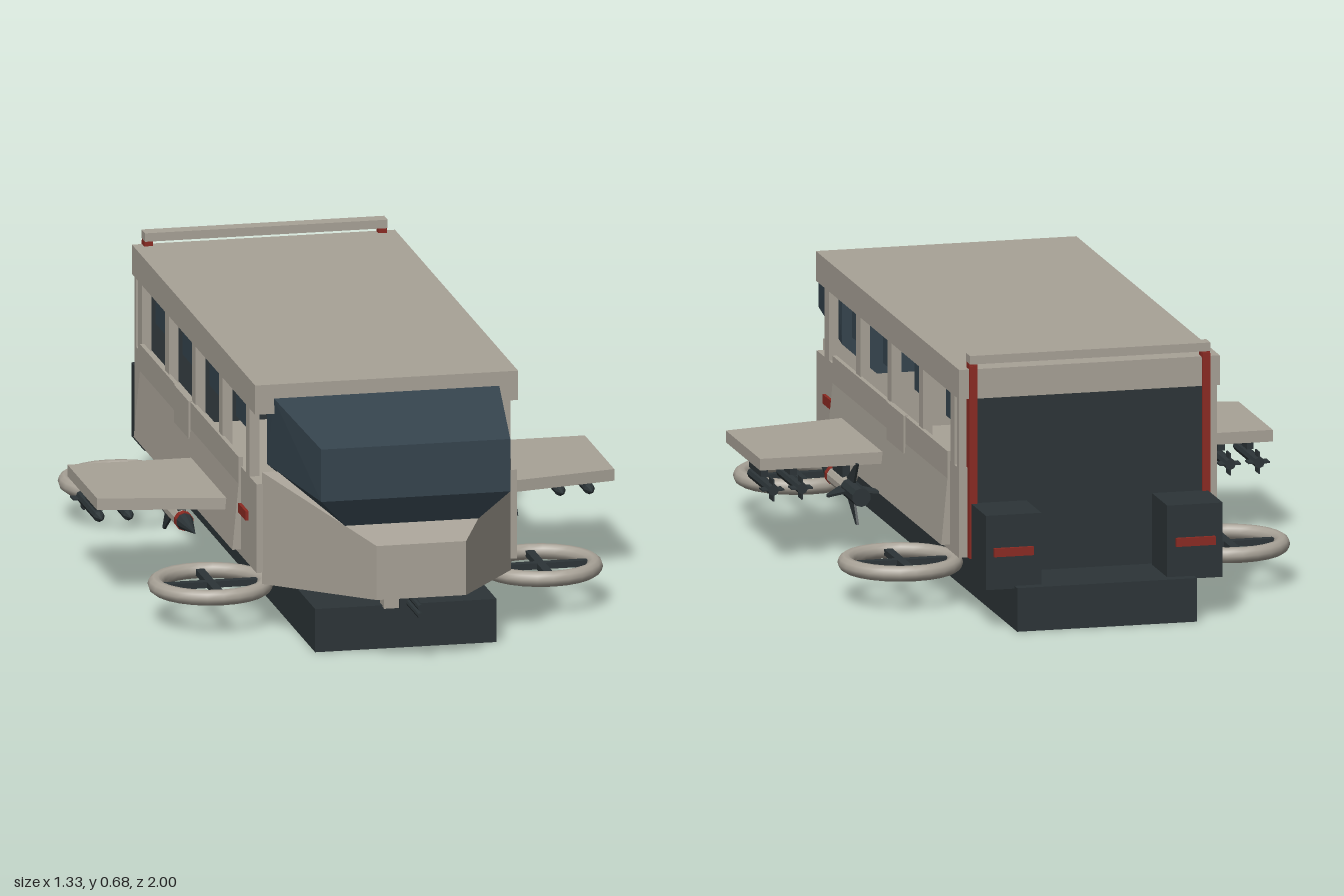
import * as THREE from 'three';
import { ConvexGeometry } from 'three/addons/geometries/ConvexGeometry.js';

const paint = (color) => new THREE.MeshStandardMaterial({ color, flatShading: true });
const hull = paint(0xa8a297), dark = paint(0x2c3437), glass = paint(0x35444e), red = paint(0x8c2a22);
const smoothHull = new THREE.MeshStandardMaterial({ color: 0xa8a297 });

function add(parent, name, geometry, material, x = 0, y = 0, z = 0) {
  const mesh = new THREE.Mesh(geometry, material);
  mesh.name = name;
  mesh.position.set(x, y, z);
  parent.add(mesh);
  return mesh;
}

// Box given by its extents on each axis
function block(parent, name, material, [x0, x1], [y0, y1], [z0, z1]) {
  return add(parent, name, new THREE.BoxGeometry(x1 - x0, y1 - y0, z1 - z0), material,
    (x0 + x1) / 2, (y0 + y1) / 2, (z0 + z1) / 2);
}

// Round section lying along z, from zBack (radius rBack) to zFront (radius rFront)
function rod(parent, name, material, rFront, rBack, zBack, zFront, x, y, sides = 10) {
  const g = new THREE.CylinderGeometry(rFront, rBack, zFront - zBack, sides).rotateX(Math.PI / 2);
  return add(parent, name, g, material, x, y, (zBack + zFront) / 2);
}

// Flat polygon in (a, b), extruded along x and centred on it
function slab(points, depth) {
  const shape = new THREE.Shape(points.map(([a, b]) => new THREE.Vector2(a, b)));
  return new THREE.ExtrudeGeometry(shape, { depth, bevelEnabled: false }).translate(0, 0, -depth / 2);
}

// Convex solid from half of its corners, mirrored in x
function mirroredHull(points) {
  return new ConvexGeometry(points.flatMap(([x, y, z]) =>
    [new THREE.Vector3(x, y, z), new THREE.Vector3(-x, y, z)]));
}

function fanRing(parent, x, z) {
  const fan = new THREE.Group();
  fan.name = 'liftFan';
  fan.position.set(x, 0.098, z);
  add(fan, 'fanRing', new THREE.TorusGeometry(0.138, 0.02, 10, 24).rotateX(Math.PI / 2), smoothHull);
  block(fan, 'fanSpoke', dark, [-0.125, 0.125], [-0.008, 0.008], [-0.011, 0.011]);
  block(fan, 'fanSpoke', dark, [-0.011, 0.011], [-0.008, 0.008], [-0.125, 0.125]);
  parent.add(fan);
}

function largeMissile(parent, s) {
  const m = new THREE.Group(), x = s * 0.415, y = 0.172;
  m.name = 'largeMissile';
  rod(m, 'missileNose', dark, 0.001, 0.022, 0.13, 0.25, x, y);
  rod(m, 'missileBand', red, 0.024, 0.024, 0.11, 0.13, x, y);
  rod(m, 'missileBody', hull, 0.023, 0.023, -0.03, 0.11, x, y);
  rod(m, 'missileMotor', dark, 0.024, 0.024, -0.15, -0.03, x, y);
  block(m, 'missilePylon', dark, [x - 0.01, x + 0.01], [0.19, 0.25], [0, 0.1]);
  // four swept tail fins
  for (let i = 0; i < 4; i++) {
    const fin = add(m, 'missileFin',
      slab([[0.01, 0.02], [0.08, 0.02], [0.115, 0.078], [0.1, 0.078]], 0.006).rotateY(Math.PI / 2), dark, x, y, 0);
    fin.rotation.z = i * Math.PI / 2;
  }
  parent.add(m);
}

function smallMissile(parent, x) {
  const m = new THREE.Group(), y = 0.192;
  m.name = 'smallMissile';
  block(m, 'pylon', dark, [x - 0.009, x + 0.009], [0.208, 0.247], [-0.01, 0.11]);
  rod(m, 'smallMissileBody', dark, 0.014, 0.014, -0.1, 0.11, x, y, 8);
  rod(m, 'smallMissileNose', dark, 0.001, 0.014, 0.11, 0.14, x, y, 8);
  block(m, 'smallMissileFin', dark, [x - 0.028, x + 0.028], [y - 0.002, y + 0.002], [-0.1, -0.065]);
  block(m, 'smallMissileFin', dark, [x - 0.002, x + 0.002], [y - 0.028, y + 0.028], [-0.1, -0.065]);
  parent.add(m);
}

// Everything that appears on both sides; s is +1 for left, -1 for right
function buildSide(s) {
  const side = new THREE.Group();
  side.name = s > 0 ? 'leftSide' : 'rightSide';
  const span = (a, b) => (s > 0 ? [a, b] : [-b, -a]);

  block(side, 'lowerWall', hull, span(0.305, 0.335), [0.155, 0.385], [-0.81, 0.6]);
  for (let i = 0; i < 5; i++) {
    const z = 0.5 - i * 0.3115;
    block(side, 'windowPillar', hull, span(0.31, 0.335), [0.385, 0.566], [z - 0.021, z + 0.021]);
    if (i < 4) block(side, 'windowPane', glass, span(0.298, 0.308), [0.47, 0.556], [z - 0.255, z - 0.145]);
  }
  block(side, 'rearPost', hull, span(0.315, 0.335), [0.385, 0.566], [-0.81, -0.79]);

  // side skirt that flares outward at the bottom
  const profile = [[0.33, 0.17], [0.357, 0.17], [0.341, 0.34], [0.341, 0.41], [0.33, 0.41]];
  const skirt = slab(s > 0 ? profile : profile.map(([x, y]) => [-x, y]).reverse(), 1.14);
  add(side, 'sideSkirt', skirt, hull, 0, 0, -0.15);
  block(side, 'accessPanel', hull, span(0.335, 0.346), [0.315, 0.412], [-0.305, -0.135]);
  block(side, 'sideMarker', red, span(0.33, 0.343), [0.268, 0.292], [0.425, 0.51]);

  // stub wing with a tapered leading edge
  const wing = [[0.33, 0.1], [0.665, 0.1], [0.665, -0.24], [0.33, -0.31]].map(([x, z]) => [s * x, z]);
  add(side, 'wing', slab(wing, 0.03).rotateX(-Math.PI / 2), hull, 0, 0.26, 0);
  largeMissile(side, s);
  for (const x of [0.555, 0.63]) smallMissile(side, s * x);
  for (const z of [0.467, -0.57]) fanRing(side, s * 0.424, z);

  // rear corner: light strip, equipment box and tail light
  block(side, 'rearLightStrip', red, span(0.292, 0.312), [0.155, 0.65], [-0.83, -0.8]);
  block(side, 'rearBox', dark, span(0.163, 0.307), [0.105, 0.296], [-0.972, -0.82]);
  block(side, 'tailLight', red, span(0.185, 0.287), [0.19, 0.212], [-0.98, -0.97]);
  block(side, 'spoilerMount', red, span(0.29, 0.312), [0.638, 0.656], [-0.825, -0.8]);
  return side;
}

export function createModel() {
  const model = new THREE.Group();
  model.name = 'armouredHoverBus';

  block(model, 'chassis', dark, [-0.233, 0.233], [0, 0.112], [-1, 0.82]);
  block(model, 'floor', hull, [-0.306, 0.306], [0.155, 0.175], [-0.8, 0.6]);
  block(model, 'roof', hull, [-0.338, 0.338], [0.565, 0.641], [-0.825, 0.598]);
  block(model, 'rearDoor', dark, [-0.295, 0.295], [0.115, 0.63], [-0.822, -0.8]);
  block(model, 'spoiler', hull, [-0.312, 0.312], [0.655, 0.677], [-0.832, -0.792]);

  // tapering nose
  add(model, 'nose', mirroredHull([
    [0.115, 0.175, 1], [0.115, 0.315, 1], [0.32, 0.125, 0.597], [0.32, 0.415, 0.597],
  ]), hull);

  // faceted cab canopy
  add(model, 'canopy', mirroredHull([
    [0.243, 0.556, 0.935], [0.243, 0.42, 0.935], [0.165, 0.335, 0.885],
    [0.29, 0.605, 0.595], [0.29, 0.605, 0.52], [0.29, 0.415, 0.52], [0.2, 0.335, 0.52],
  ]), glass);

  // twin-barrel gun under the nose
  block(model, 'gunHousing', dark, [-0.022, 0.025], [0.108, 0.156], [0.79, 0.85]);
  block(model, 'gunMagazine', hull, [-0.06, -0.022], [0.108, 0.156], [0.79, 0.84]);
  for (const y of [0.123, 0.144]) rod(model, 'gunBarrel', dark, 0.008, 0.008, 0.84, 0.985, 0.002, y, 8);

  for (const s of [1, -1]) model.add(buildSide(s));
  return model;
}
